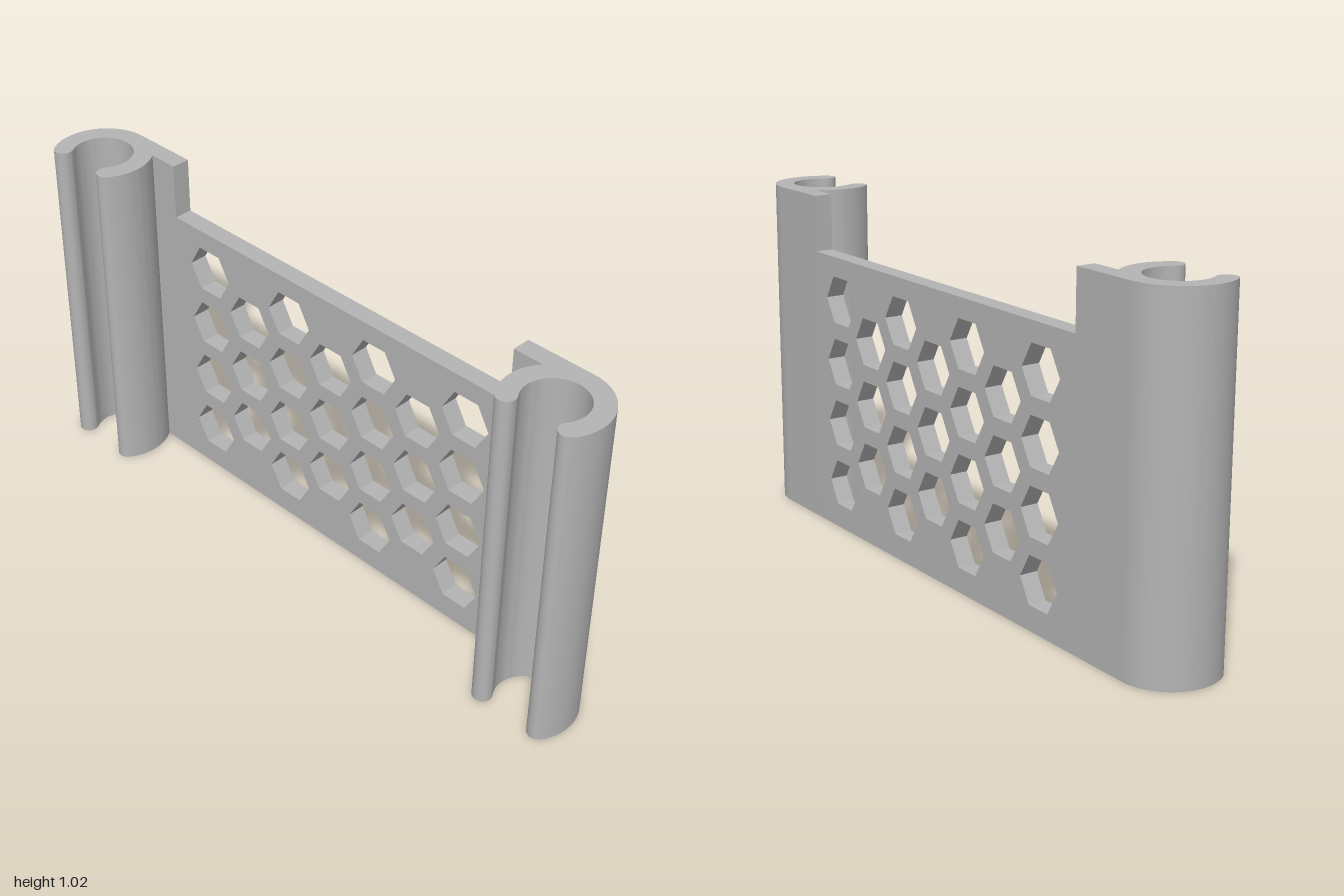
import * as THREE from 'three';
import { toCreasedNormals } from 'three/addons/utils/BufferGeometryUtils.js';

const HEIGHT = 1.025;       // clip height
const PANEL_HEIGHT = 0.855; // panel top between the clips
const PANEL_END = 0.643;    // where the panel meets the raised ends
const FACE = 0.123;         // outer face x
const THICK = 0.056;
const R_OUT = 0.148, R_IN = 0.09;
const CX = FACE - R_OUT, CZ = 1 - R_OUT;

// Adds points of an arc to a list
function arc(points, cx, cy, r, from, to, steps) {
  for (let i = 0; i <= steps; i++) {
    const a = from + (to - from) * i / steps;
    points.push(new THREE.Vector2(cx + r * Math.cos(a), cy + r * Math.sin(a)));
  }
}

// Open C-shaped clip with rounded lips and a short strip joining the panel
function clipGeometry(side) {
  const tip = 2.18, mid = (R_OUT + R_IN) / 2, cap = (R_OUT - R_IN) / 2;
  const join = Math.acos((FACE - THICK - CX) / R_OUT);
  const tx = CX + mid * Math.cos(tip), tz = mid * Math.sin(tip);
  const p = [new THREE.Vector2(FACE, PANEL_END)];
  arc(p, CX, CZ, R_OUT, 0, tip, 32);
  arc(p, tx, CZ + tz, cap, tip, tip + Math.PI, 12);
  arc(p, CX, CZ, R_IN, tip, -tip, 48);
  arc(p, tx, CZ - tz, cap, -tip - Math.PI, -tip, 12);
  arc(p, CX, CZ, R_OUT, -tip, -join, 20);
  p.push(new THREE.Vector2(FACE - THICK, PANEL_END));
  // drop doubled points where arcs meet
  const outline = p.filter((q, i) => i === 0 || q.distanceTo(p[i - 1]) > 1e-5);
  outline.forEach((q) => { q.y *= side; });
  const geo = new THREE.ExtrudeGeometry(new THREE.Shape(outline), { depth: HEIGHT, bevelEnabled: false });
  geo.rotateX(Math.PI / 2).translate(0, HEIGHT, 0);
  return toCreasedNormals(geo, 0.5);
}

// Flat panel with staggered columns of hexagonal holes
function panelGeometry() {
  const shape = new THREE.Shape([
    new THREE.Vector2(-PANEL_END, 0), new THREE.Vector2(PANEL_END, 0),
    new THREE.Vector2(PANEL_END, PANEL_HEIGHT), new THREE.Vector2(-PANEL_END, PANEL_HEIGHT),
  ]);
  const pitch = 0.193;
  for (let col = -3; col <= 3; col++) {
    const odd = col % 2 !== 0;
    for (let row = 0; row < (odd ? 4 : 3); row++) {
      const hex = [];
      const y = 0.145 + (row + (odd ? 0 : 0.5)) * pitch;
      arc(hex, col * 0.167, y, 0.082, 0, -Math.PI * 5 / 3, 5);
      shape.holes.push(new THREE.Path(hex));
    }
  }
  const geo = new THREE.ExtrudeGeometry(shape, { depth: THICK, bevelEnabled: false });
  return geo.rotateY(Math.PI / 2).translate(FACE - THICK, 0, 0);
}

export function createModel() {
  const grey = new THREE.MeshStandardMaterial({ color: 0xb4b4b4 });
  grey.name = 'grey plastic';
  const group = new THREE.Group();
  group.name = 'clipOnPanel';

  const add = (name, geometry) => {
    const mesh = new THREE.Mesh(geometry, grey);
    mesh.name = name;
    group.add(mesh);
  };
  add('honeycombPanel', panelGeometry());
  add('frontClip', clipGeometry(1));
  add('backClip', clipGeometry(-1));
  return group;
}
